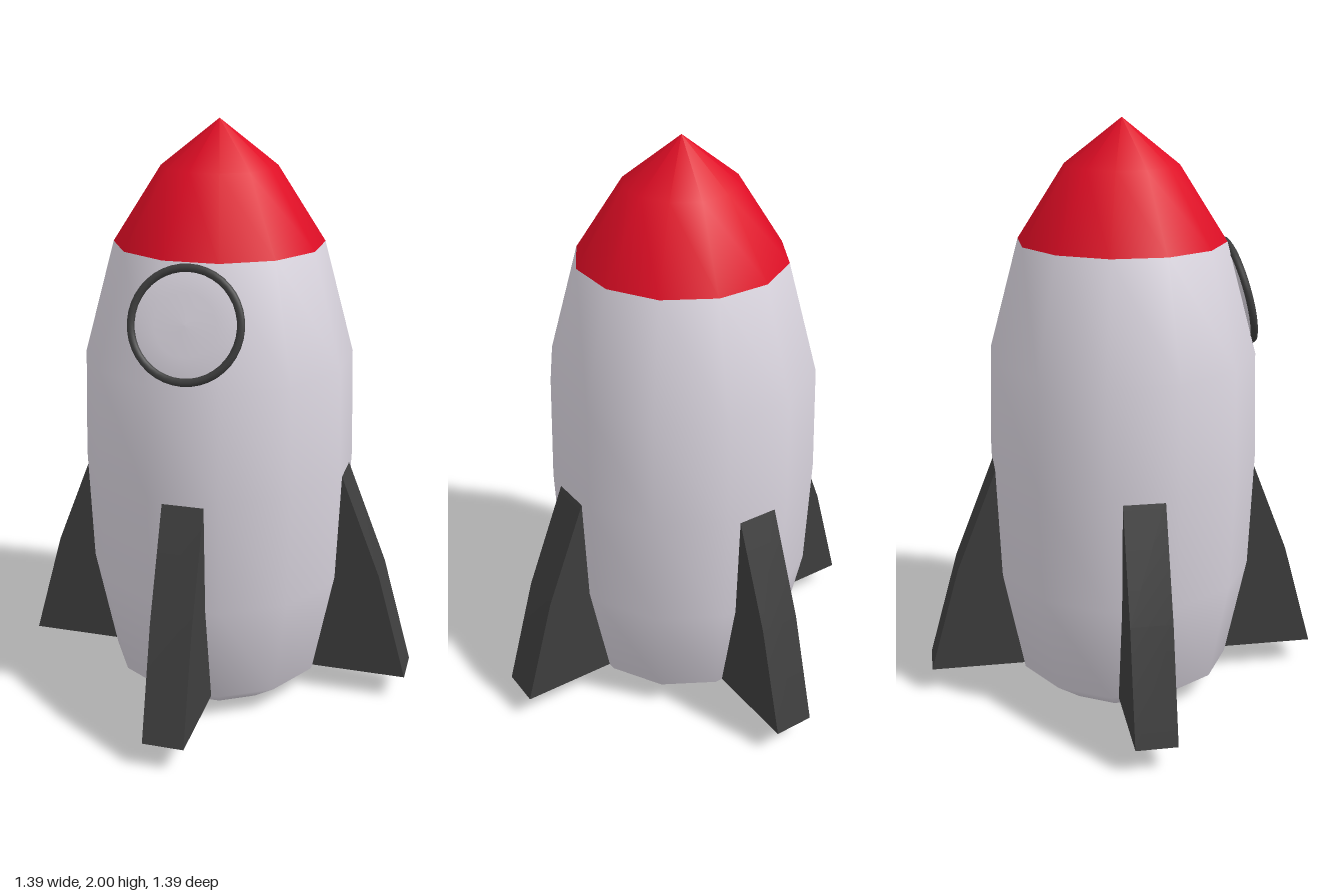
import * as THREE from 'three';
import { toCreasedNormals } from 'three/addons/utils/BufferGeometryUtils.js';

const paint = (name, color) => Object.assign(new THREE.MeshStandardMaterial({ color }), { name });

export function createModel() {
  const white = paint('hull white', 0xd9d4de);
  const red = paint('nose red', 0xe00d25);
  const dark = paint('dark grey', 0x3e3e3e);
  const rocket = new THREE.Group();
  rocket.name = 'rocket';

  const add = (name, geometry, material, parent = rocket) => {
    const mesh = new THREE.Mesh(geometry, material);
    mesh.name = name;
    parent.add(mesh);
    return mesh;
  };

  // Twelve-sided body, profile given as flat-to-axis distance and height
  const SIDES = 12;
  const toCorner = 1 / Math.cos(Math.PI / SIDES);
  const noseBase = 1.6;
  const profile = [
    [0.25, 0], [0.365, 0.09], [0.435, 0.45], [0.45, 0.85],
    [0.44, 1.22], [0.34, noseBase], [0.185, 1.85], [0, 2],
  ].map(([r, y]) => new THREE.Vector2(r * toCorner, y));
  const body = new THREE.LatheGeometry(profile, SIDES, Math.PI / SIDES);

  // Split the body at the nose base, keeping its shading continuous
  const bodyPart = (isNose) => {
    const part = body.clone();
    const pos = body.attributes.position;
    const all = body.index.array;
    const kept = [];
    for (let i = 0; i < all.length; i += 3) {
      const face = [all[i], all[i + 1], all[i + 2]];
      const mid = face.reduce((sum, v) => sum + pos.getY(v), 0) / 3;
      if ((mid > noseBase) === isNose) kept.push(...face);
    }
    part.setIndex(kept);
    return part;
  };
  add('hull', bodyPart(false), white);
  add('noseCone', bodyPart(true), red);

  // Engine base under the hull
  const base = add('engineBase', new THREE.CircleGeometry(0.25 * toCorner, SIDES, Math.PI / SIDES), dark);
  base.rotation.x = Math.PI / 2;

  // Four swept fins
  const finShape = new THREE.Shape([
    [0.3, 0.09], [0.695, 0.09], [0.59, 0.47], [0.445, 0.84], [0.3, 0.84],
  ].map(([x, y]) => new THREE.Vector2(x, y)));
  const finGeometry = toCreasedNormals(
    new THREE.ExtrudeGeometry(finShape, { depth: 0.14, bevelEnabled: false }).translate(0, 0, -0.07), 0.5);
  for (let i = 0; i < 4; i++) {
    add('fin' + (i + 1), finGeometry, dark).rotation.y = i * Math.PI / 2;
  }

  // Round window leaning with the hull
  const porthole = new THREE.Group();
  porthole.name = 'porthole';
  porthole.position.set(0, 1.415, 0.4);
  porthole.rotation.x = -Math.atan2(0.1, 0.38);
  rocket.add(porthole);
  add('windowRim', new THREE.TorusGeometry(0.177, 0.013, 8, 40), dark, porthole);
  const paneProfile = [[0, -0.008], [0.172, -0.008], [0.172, 0], [0.1, 0.006], [0, 0.009]]
    .map(([r, y]) => new THREE.Vector2(r, y));
  add('windowPane', new THREE.LatheGeometry(paneProfile, 40).rotateX(Math.PI / 2), white, porthole);

  return rocket;
}
